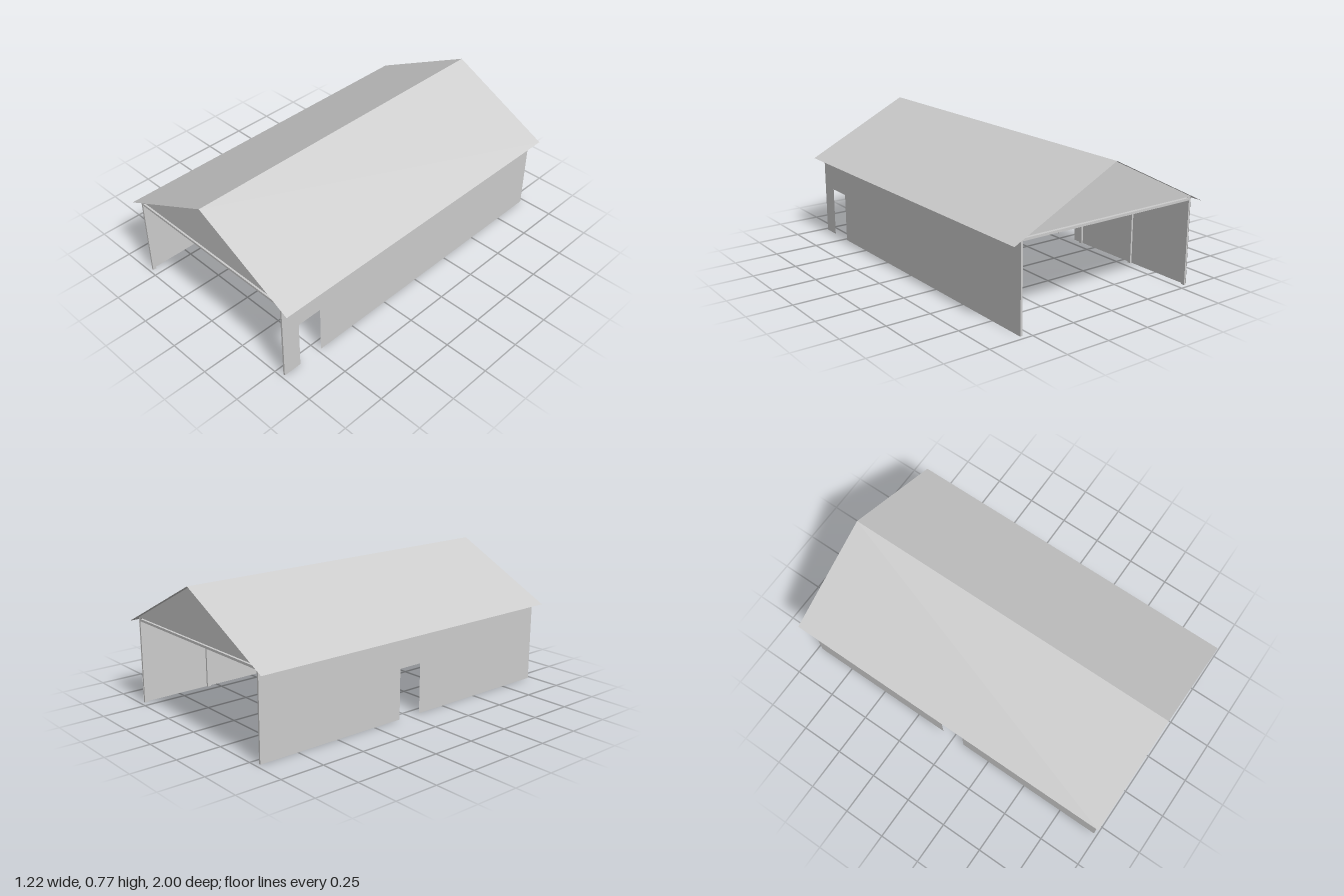
import * as THREE from 'three';

const HALF_W = 0.555;   // outer face of the walls
const END = 0.976;      // gable and wall ends
const RIDGE = 0.768;
const EAVE = 0.49;
const ROOF_W = 0.612;   // roof overhang
const ROOF_Y = 0.462;

export function createModel() {
  const model = new THREE.Group();
  model.name = 'openBarn';
  const steel = new THREE.MeshStandardMaterial({ color: 0xcccccc, flatShading: true });
  const sheet = new THREE.MeshStandardMaterial({ color: 0xcccccc, flatShading: true, side: THREE.DoubleSide });

  const add = (parent, name, geometry, material) => {
    const mesh = new THREE.Mesh(geometry, material);
    mesh.name = name;
    parent.add(mesh);
    return mesh;
  };
  const outline = (points) => new THREE.Shape(points.map(([x, y]) => new THREE.Vector2(x, y)));

  // Thin roof sheets, one per slope
  const run = Math.hypot(ROOF_W, RIDGE - ROOF_Y);
  const pitch = Math.atan2(RIDGE - ROOF_Y, ROOF_W);
  for (const s of [-1, 1]) {
    const roof = add(model, s > 0 ? 'roofLeft' : 'roofRight',
      new THREE.PlaneGeometry(run, 2).rotateX(-Math.PI / 2), sheet);
    roof.rotation.z = -s * pitch;
    roof.position.set(s * ROOF_W / 2, (RIDGE + ROOF_Y) / 2, 0);
  }

  // Side walls, each with a doorway notched out of the bottom edge
  const doorHeight = 0.283;
  const addWall = (name, x, doorStart, doorEnd) => {
    const wall = add(model, name, new THREE.ShapeGeometry(outline([
      [-END, 0], [doorStart, 0], [doorStart, doorHeight], [doorEnd, doorHeight],
      [doorEnd, 0], [END, 0], [END, EAVE], [-END, EAVE],
    ])), sheet);
    wall.rotation.y = -Math.PI / 2;
    wall.position.x = x;
  };
  addWall('wallLeft', HALF_W, 0.73, 0.875);
  addWall('wallRight', -HALF_W, -0.072, 0.072);

  // Triangular gable panels
  for (const s of [-1, 1]) {
    const gable = add(model, s > 0 ? 'gableFront' : 'gableBack', new THREE.ShapeGeometry(outline([
      [-HALF_W, EAVE], [HALF_W, EAVE], [0, RIDGE - 0.001],
    ])), sheet);
    gable.position.z = s * END;
  }

  // Portal frames: two columns, a tie beam and a pair of rafters
  const depth = 0.02, thick = 0.011, rafterDrop = 0.015;
  const inner = HALF_W - 0.001;
  const rafterShape = outline([
    [-inner, EAVE - 0.001], [0, RIDGE - 0.001], [inner, EAVE - 0.001],
    [inner - 0.004, EAVE - rafterDrop + 0.002], [0, RIDGE - rafterDrop - 0.001],
    [-inner + 0.004, EAVE - rafterDrop + 0.002],
  ]);
  const rafterGeometry = new THREE.ExtrudeGeometry(rafterShape, { depth, bevelEnabled: false })
    .translate(0, 0, -depth / 2);
  const columnGeometry = new THREE.BoxGeometry(thick, EAVE - 0.004, depth);
  const tieGeometry = new THREE.BoxGeometry(2 * (inner - thick), 0.013, depth);

  for (const z of [0.971, 0.555, 0.14, -0.14, -0.555, -0.965]) {
    const frame = new THREE.Group();
    frame.name = 'portalFrame';
    frame.position.z = z;
    for (const s of [-1, 1]) {
      add(frame, 'column', columnGeometry, steel)
        .position.set(s * (inner - thick / 2), (EAVE - 0.004) / 2, 0);
    }
    add(frame, 'tieBeam', tieGeometry, steel).position.y = 0.4755;
    add(frame, 'rafters', rafterGeometry, steel);
    model.add(frame);
  }
  return model;
}
